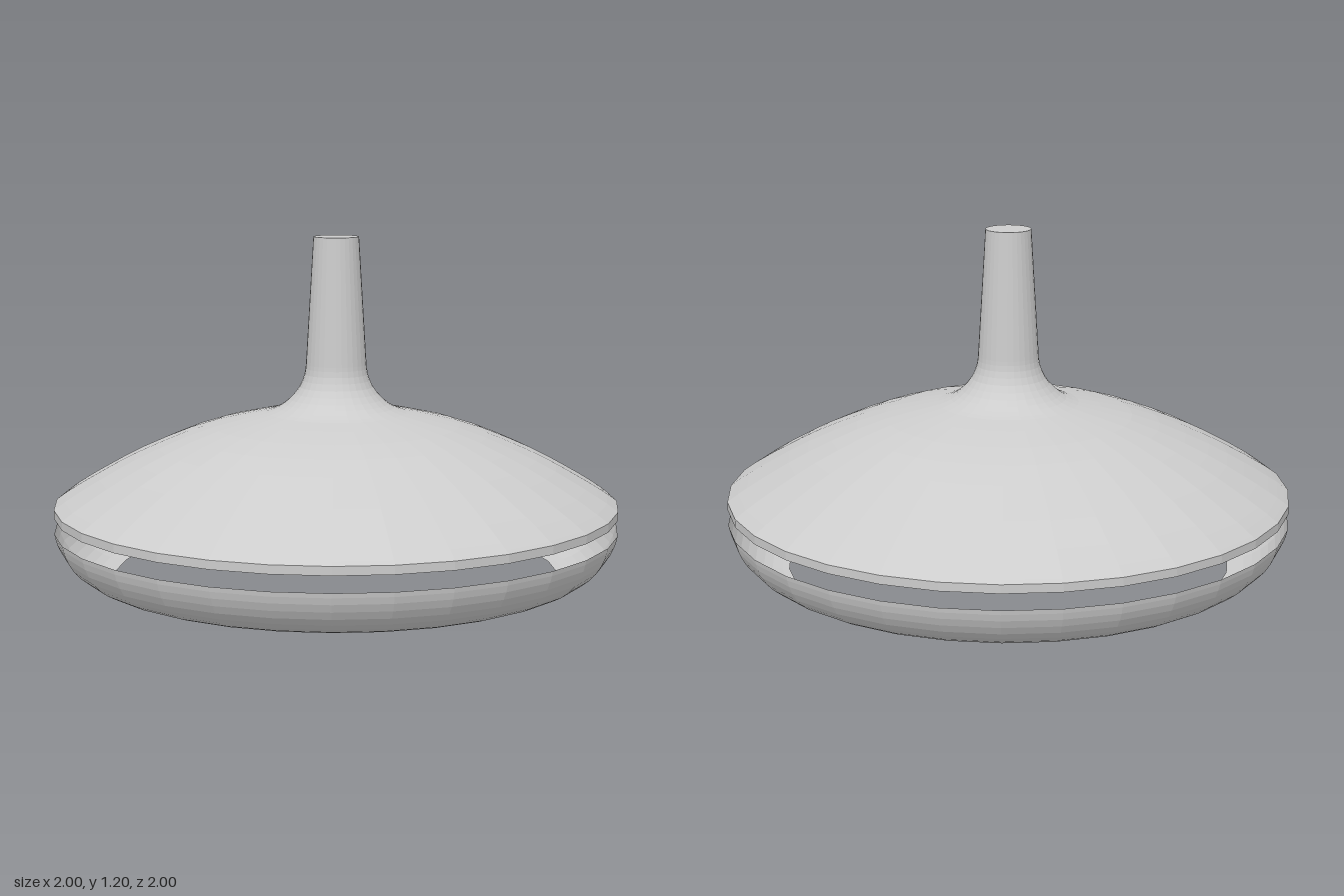
import * as THREE from 'three';

const SIDES = 32;

// Samples a smooth curve through a few [radius, height] points
function smoothProfile(points, steps) {
  return new THREE.SplineCurve(points.map(([r, y]) => new THREE.Vector2(r, y))).getPoints(steps);
}

export function createModel() {
  const model = new THREE.Group();
  model.name = 'pendantLamp';

  const grey = new THREE.MeshStandardMaterial({ color: 0xcccccc, flatShading: true, side: THREE.DoubleSide });
  grey.name = 'light grey';

  const addLathe = (name, profile) => {
    const mesh = new THREE.Mesh(new THREE.LatheGeometry(profile, SIDES), grey);
    mesh.name = name;
    model.add(mesh);
  };

  // Thin lower ring, curling in to an open underside
  addLathe('lowerRing', smoothProfile([
    [0.79, 0], [0.85, 0.007], [0.91, 0.034], [0.96, 0.08], [0.99, 0.135], [1, 0.175],
  ], 10));

  // Domed shade: short upright rim, then a shallow dome
  addLathe('shade', [
    new THREE.Vector2(1, 0.23),
    ...smoothProfile([
      [1, 0.26], [0.95, 0.295], [0.85, 0.355], [0.7, 0.435], [0.48, 0.525], [0.25, 0.58],
    ], 12),
  ]);

  // Flared neck running up into the tapered stem, closed at the top
  addLathe('stem', [
    ...smoothProfile([
      [0.25, 0.58], [0.205, 0.597], [0.165, 0.627], [0.13, 0.67], [0.112, 0.715], [0.107, 0.75],
    ], 10),
    new THREE.Vector2(0.08, 1.2),
    new THREE.Vector2(0, 1.2),
  ]);

  return model;
}
